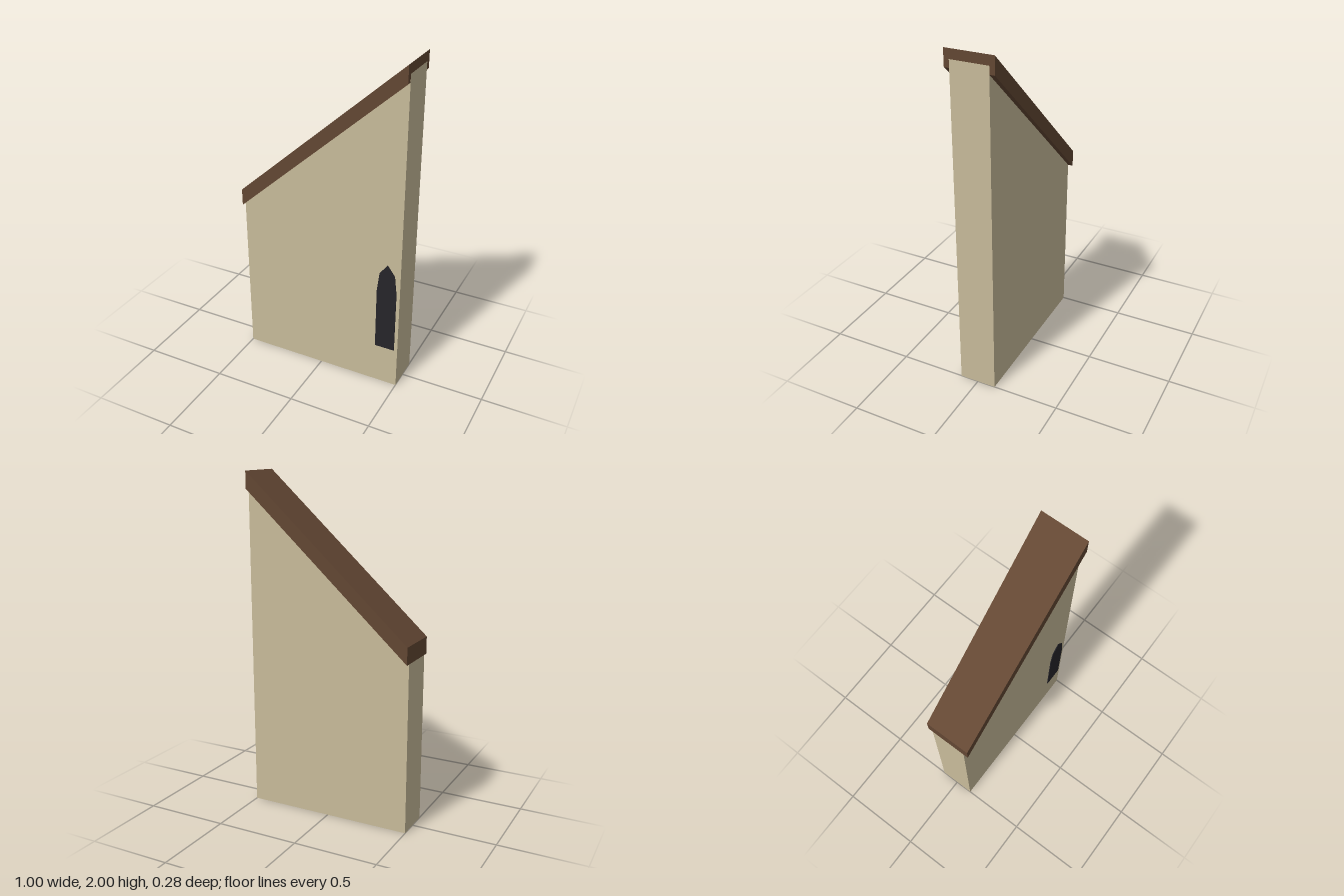
import * as THREE from 'three';

// Extrudes a front outline from z0 to z1
function slab(name, color, points, z0, z1) {
  const shape = new THREE.Shape(points.map(([x, y]) => new THREE.Vector2(x, y)));
  const geometry = new THREE.ExtrudeGeometry(shape, { depth: z1 - z0, bevelEnabled: false });
  geometry.translate(0, 0, z0);
  const mesh = new THREE.Mesh(geometry, new THREE.MeshStandardMaterial({ color }));
  mesh.name = name;
  return mesh;
}

export function createModel() {
  const group = new THREE.Group();
  group.name = 'slopedWall';

  // Wall: its sloped top sits inside the coping; the ends are offset a hair to avoid coplanar faces
  group.add(slab('wall', 0xc8bb9a,
    [[-0.4995, 0], [0.5005, 0], [0.5005, 1.945], [-0.4995, 1.045]], -0.11, 0.11));

  // Sloping coping, overhanging front and back
  group.add(slab('coping', 0x634733,
    [[-0.5, 1], [0.5, 1.9], [0.5, 2], [-0.5, 1.1]], -0.14, 0.14));

  // Narrow pointed window on the front
  const half = [[0.06, 0.255], [0.06, 0.645], [0.046, 0.762]];
  const cx = 0.42;
  group.add(slab('window', 0x26252a, [
    ...half.map(([x, y]) => [cx + x, y]),
    [cx, 0.825],
    ...half.map(([x, y]) => [cx - x, y]).reverse(),
  ], 0.105, 0.115));

  return group;
}
